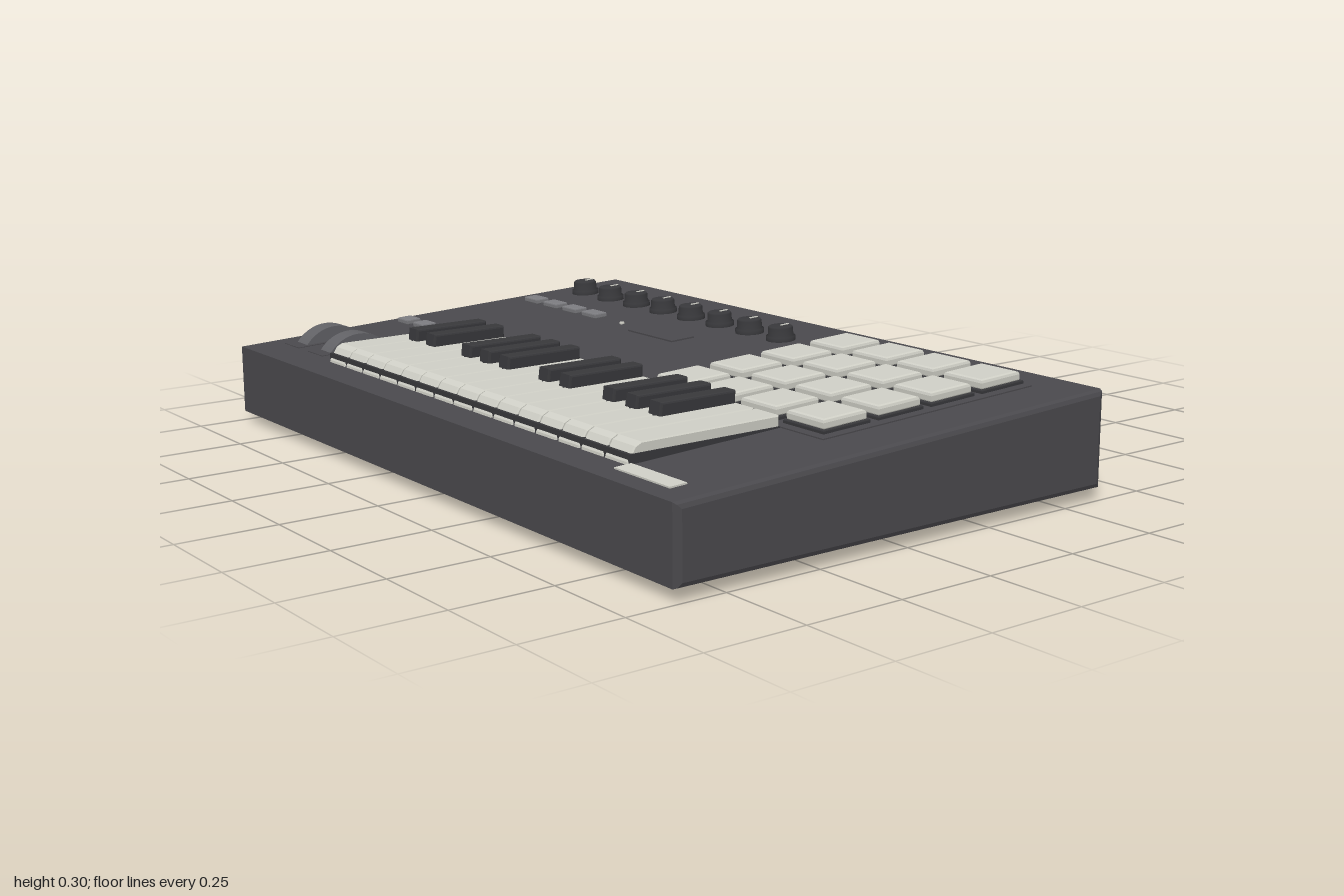
import * as THREE from 'three';

const flat = (name, color) => {
  const m = new THREE.MeshStandardMaterial({ color });
  m.name = name;
  return m;
};

export function createModel() {
  const shell = flat('charcoal shell', 0x4a494d);
  const black = flat('soft black', 0x38383b);
  const grey = flat('button grey', 0x7c7c80);
  const ivory = flat('ivory', 0xcfcfc6);
  const wheelGrey = flat('wheel grey', 0x626266);

  const model = new THREE.Group();
  model.name = 'padKeyboardController';

  const add = (parent, name, geometry, material, x = 0, y = 0, z = 0) => {
    const mesh = new THREE.Mesh(geometry, material);
    mesh.name = name;
    mesh.position.set(x, y, z);
    parent.add(mesh);
    return mesh;
  };

  // Side profile given as [z, y] points, extruded across x with a bevel
  const sideExtrude = (points, width, bevel, segments = 2) => {
    const g = new THREE.ExtrudeGeometry(new THREE.Shape(points.map((p) => new THREE.Vector2(...p))), {
      depth: width - 2 * bevel, bevelEnabled: true, bevelSize: bevel,
      bevelThickness: bevel, bevelOffset: -bevel, bevelSegments: segments,
    });
    g.translate(0, 0, bevel - width / 2);
    return g.rotateY(-Math.PI / 2);
  };

  // Bevelled slab whose base sits on y = 0
  const slab = (w, d, h, bevel) => {
    const s = new THREE.Shape();
    s.moveTo(-w / 2, -d / 2).lineTo(w / 2, -d / 2).lineTo(w / 2, d / 2).lineTo(-w / 2, d / 2);
    const g = new THREE.ExtrudeGeometry(s, {
      depth: h - 2 * bevel, bevelEnabled: true, bevelSize: bevel,
      bevelThickness: bevel, bevelOffset: -bevel, bevelSegments: 2,
    });
    return g.translate(0, 0, bevel).rotateX(-Math.PI / 2);
  };

  // Wedge body
  const frontTop = 0.208, slope = 0.048;
  const topAt = (z) => frontTop + (0.87 - z) * slope;
  add(model, 'body', sideExtrude(
    [[-0.37, 0.028], [0.875, 0.028], [0.875, frontTop], [-0.37, topAt(-0.37)]], 2, 0.014), shell);

  // Feet
  const footGeo = new THREE.CylinderGeometry(0.042, 0.036, 0.032, 24);
  for (const x of [-0.875, 0.875]) for (const z of [-0.245, 0.755]) {
    add(model, 'foot', footGeo, black, x, 0.016, z);
  }

  // Everything on the sloping top face lives in this group
  const deck = new THREE.Group();
  deck.name = 'deck';
  deck.position.y = topAt(0);
  deck.rotation.x = Math.atan(slope);
  model.add(deck);

  // Pads on dark rims
  add(deck, 'padPanel', new THREE.BoxGeometry(0.67, 0.006, 0.65), shell, 0.525, 0, 0.05);
  const rimGeo = slab(0.138, 0.138, 0.012, 0.003);
  const padGeo = slab(0.126, 0.126, 0.028, 0.008);
  for (let row = 0; row < 4; row++) for (let col = 0; col < 4; col++) {
    const x = 0.276 + col * 0.163, z = -0.204 + row * 0.162;
    add(deck, 'padRim', rimGeo, black, x, 0, z);
    add(deck, 'pad', padGeo, ivory, x, 0.006, z);
  }

  // Knobs with pointer marks
  const knobGeo = new THREE.LatheGeometry(
    [[0.039, 0], [0.039, 0.012], [0.034, 0.014], [0.033, 0.034], [0.03, 0.038], [0, 0.038]]
      .map((p) => new THREE.Vector2(...p)), 28);
  const markGeo = new THREE.BoxGeometry(0.006, 0.003, 0.026);
  for (let i = 0; i < 8; i++) {
    const x = -0.88 + i * 0.1313;
    add(deck, 'knob', knobGeo, black, x, 0, -0.187);
    add(deck, 'knobMark', markGeo, ivory, x, 0.0385, -0.202);
  }

  // Buttons, status light and display
  const buttonGeo = slab(0.066, 0.04, 0.016, 0.004);
  for (let i = 0; i < 4; i++) add(deck, 'button', buttonGeo, grey, -0.876 + i * 0.1, 0, -0.01);
  const smallButtonGeo = slab(0.054, 0.042, 0.016, 0.004);
  for (const x of [-0.907, -0.82]) add(deck, 'octaveButton', smallButtonGeo, grey, x, 0, 0.4);
  add(deck, 'statusLight', new THREE.CylinderGeometry(0.007, 0.007, 0.006, 16), ivory, -0.44, 0.002, -0.01);
  add(deck, 'display', new THREE.BoxGeometry(0.2, 0.006, 0.075), shell, -0.25, 0.001, -0.005);

  // Label plate
  add(deck, 'labelPlate', new THREE.BoxGeometry(0.195, 0.006, 0.044), ivory, 0.812, 0.001, 0.803);

  // Pitch and modulation wheels
  const wheelGeo = new THREE.CylinderGeometry(0.11, 0.11, 0.058, 48).rotateZ(Math.PI / 2);
  for (const x of [-0.888, -0.75]) {
    add(deck, 'wheelWell', new THREE.BoxGeometry(0.084, 0.004, 0.21), shell, x, 0, 0.67);
    add(model, 'wheel', wheelGeo, wheelGrey, x, 0.149, 0.655);
  }

  // Keyboard
  const keyStart = -0.64, pitch = 0.0903;
  const whiteGeo = sideExtrude(
    [[0.375, 0.2], [0.79, 0.2], [0.788, 0.218], [0.768, 0.25], [0.752, 0.258], [0.375, 0.26]], pitch - 0.006, 0.003, 1);
  for (let i = 0; i < 15; i++) add(model, 'whiteKey', whiteGeo, ivory, keyStart + (i + 0.5) * pitch);
  add(model, 'keyBed', new THREE.BoxGeometry(15 * pitch, 0.04, 0.41), black, keyStart + 7.5 * pitch, 0.215, 0.58);
  const blackGeo = sideExtrude(
    [[0.375, 0.24], [0.592, 0.24], [0.586, 0.29], [0.375, 0.29]], 0.047, 0.005);
  for (const i of [1, 2, 4, 5, 6, 8, 9, 11, 12, 13]) {
    add(model, 'blackKey', blackGeo, black, keyStart + i * pitch);
  }

  // Rear sockets and cable
  const plugGeo = new THREE.CylinderGeometry(0.023, 0.023, 0.05, 24).rotateX(Math.PI / 2);
  add(model, 'rearJack', plugGeo, black, -0.19, 0.148, -0.38);
  add(model, 'rearPort', new THREE.BoxGeometry(0.076, 0.026, 0.012), black, 0, 0.148, -0.37);
  const path = new THREE.CatmullRomCurve3([
    [0, 0.148, -0.365], [-0.008, 0.14, -0.46], [0, 0.128, -0.54], [0.035, 0.1, -0.63],
    [0.115, 0.057, -0.74], [0.22, 0.038, -0.805], [0.37, 0.043, -0.862],
  ].map((p) => new THREE.Vector3(...p)));
  add(model, 'cable', new THREE.TubeGeometry(path, 48, 0.0125, 12), black);
  const end = add(model, 'cableEnd', new THREE.CircleGeometry(0.0125, 12), black);
  end.position.copy(path.getPoint(1));
  end.lookAt(path.getPoint(1).add(path.getTangent(1)));

  return model;
}
